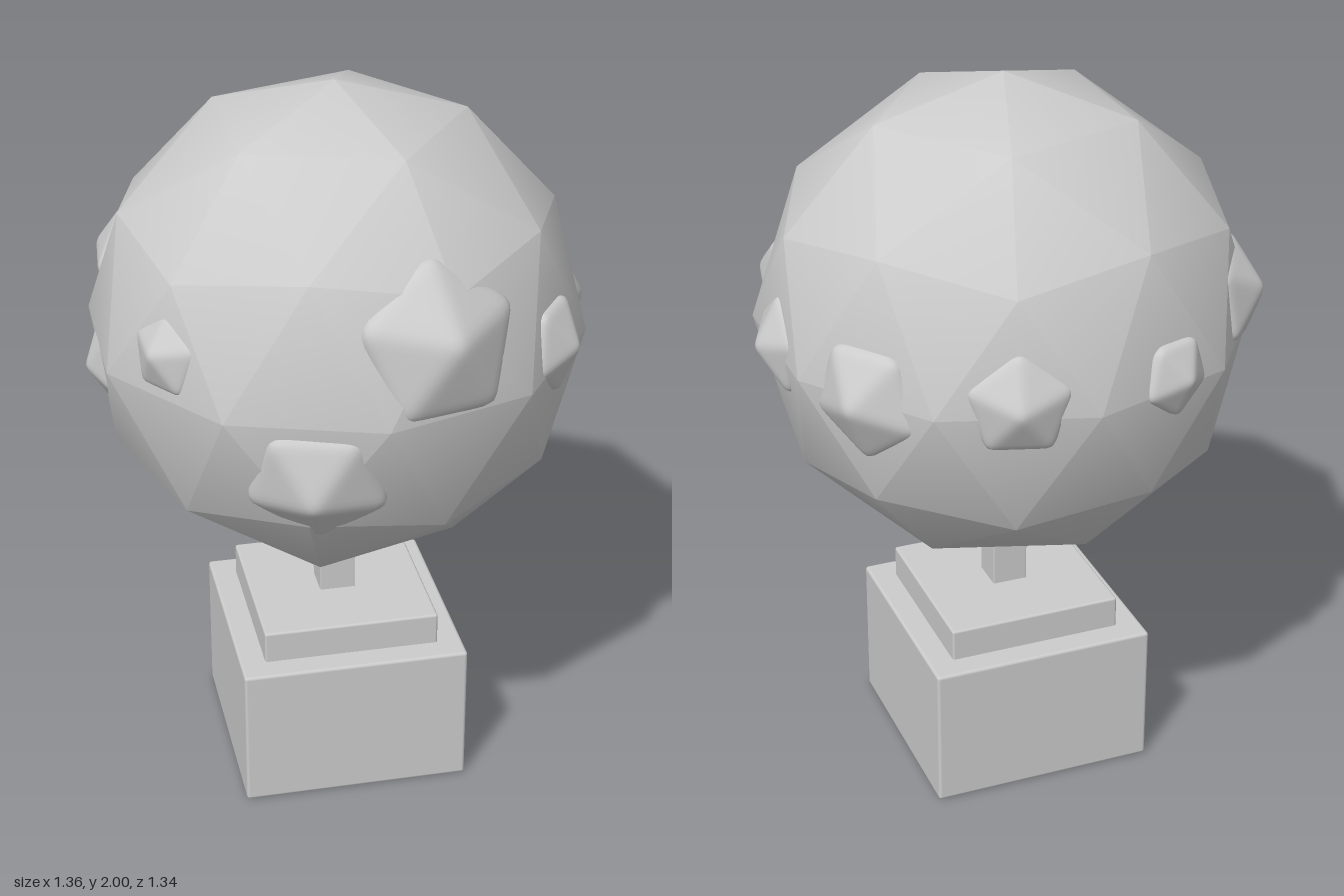
import * as THREE from 'three';
import { mergeVertices } from 'three/addons/utils/BufferGeometryUtils.js';
import { RoundedBoxGeometry } from 'three/addons/geometries/RoundedBoxGeometry.js';

const material = new THREE.MeshStandardMaterial({ color: 0xcccccc });

// Icosahedron turned so that one corner points straight up
function poleIcosahedron(radius, detail) {
  const geo = new THREE.IcosahedronGeometry(radius, detail);
  return geo.rotateZ(-Math.atan(2 / (1 + Math.sqrt(5))));
}

// Faceted ball: face normals blended with radial ones for soft facets
function ballGeometry(radius) {
  const geo = poleIcosahedron(radius, 1);
  geo.computeVertexNormals();
  const { position, normal } = geo.attributes;
  const p = new THREE.Vector3(), n = new THREE.Vector3();
  for (let i = 0; i < position.count; i++) {
    p.fromBufferAttribute(position, i).normalize();
    n.fromBufferAttribute(normal, i).lerp(p, 0.45).normalize();
    normal.setXYZ(i, n.x, n.y, n.z);
  }
  return geo;
}

// Icosahedron with rounded edges, a corner along +z and a ring corner toward +y
function studGeometry() {
  const flat = poleIcosahedron(1, 0).attributes.position;
  const faces = [];
  for (let i = 0; i < flat.count; i += 3) {
    const c = new THREE.Vector3();
    for (let j = 0; j < 3; j++) c.add(new THREE.Vector3().fromBufferAttribute(flat, i + j));
    faces.push(c.normalize());
  }
  let geo = poleIcosahedron(1, 11);
  geo.deleteAttribute('normal');
  geo.deleteAttribute('uv');
  geo = mergeVertices(geo, 1e-4);
  const pos = geo.attributes.position, d = new THREE.Vector3(), k = 30;
  for (let i = 0; i < pos.count; i++) {
    d.fromBufferAttribute(pos, i).normalize();
    const sum = faces.reduce((s, n) => s + Math.max(0, n.dot(d) / 0.7947) ** k, 0);
    d.multiplyScalar(1.04 * sum ** (-1 / k));
    pos.setXYZ(i, d.x, d.y, d.z);
  }
  geo.rotateX(Math.PI / 2).rotateZ(Math.PI / 2).scale(1, 1, 0.8);
  geo.computeVertexNormals();
  return geo;
}

// [direction from the ball's centre, ring radius, tip distance, roll]
const UP = 0, DOWN = Math.PI;
const studs = [
  [[0.165, 0.2, 0.63], 0.212, 0.725, UP],
  [[-0.18, -0.2, 0.62], 0.182, 0.715, DOWN],
  [[0.53, 0.05, 0.39], 0.128, 0.695, DOWN],
  [[0.67, 0.01, 0], 0.13, 0.692, UP],
  [[0.55, -0.01, -0.39], 0.158, 0.705, DOWN],
  [[0.2, 0.03, -0.63], 0.135, 0.7, UP],
  [[-0.25, 0.03, -0.61], 0.105, 0.69, DOWN],
  [[-0.57, 0.12, -0.35], 0.15, 0.705, UP - 0.3],
  [[-0.66, -0.08, -0.01], 0.11, 0.678, DOWN],
  [[-0.53, 0.12, 0.37], 0.11, 0.685, UP],
];

export function createModel() {
  const model = new THREE.Group();

  // Square plinth, step and post
  const block = (name, width, bottom, top, bevel) => {
    const geo = new RoundedBoxGeometry(width, top - bottom, width, 2, bevel);
    const mesh = new THREE.Mesh(geo, material);
    mesh.name = name;
    mesh.position.set(-0.014, (bottom + top) / 2, -0.005);
    model.add(mesh);
  };
  block('plinth', 0.63, 0, 0.41, 0.009);
  block('plinthStep', 0.49, 0.39, 0.5, 0.007);
  block('post', 0.1, 0.48, 0.76, 0.004);

  // Ball with its ring of half-sunken studs
  const head = new THREE.Group();
  head.name = 'studdedBall';
  head.position.set(-0.012, 1.328, -0.005);
  const ball = new THREE.Mesh(ballGeometry(0.672), material);
  ball.name = 'ball';
  head.add(ball);

  const studGeo = studGeometry();
  for (const [dir, ring, tip, roll] of studs) {
    const stud = new THREE.Mesh(studGeo, material);
    const size = ring / 0.894;
    stud.name = 'stud';
    stud.scale.setScalar(size);
    stud.position.set(...dir).setLength(tip - size * 0.8);
    stud.lookAt(stud.position.clone().multiplyScalar(2));
    stud.rotateZ(roll);
    head.add(stud);
  }
  model.add(head);
  return model;
}
